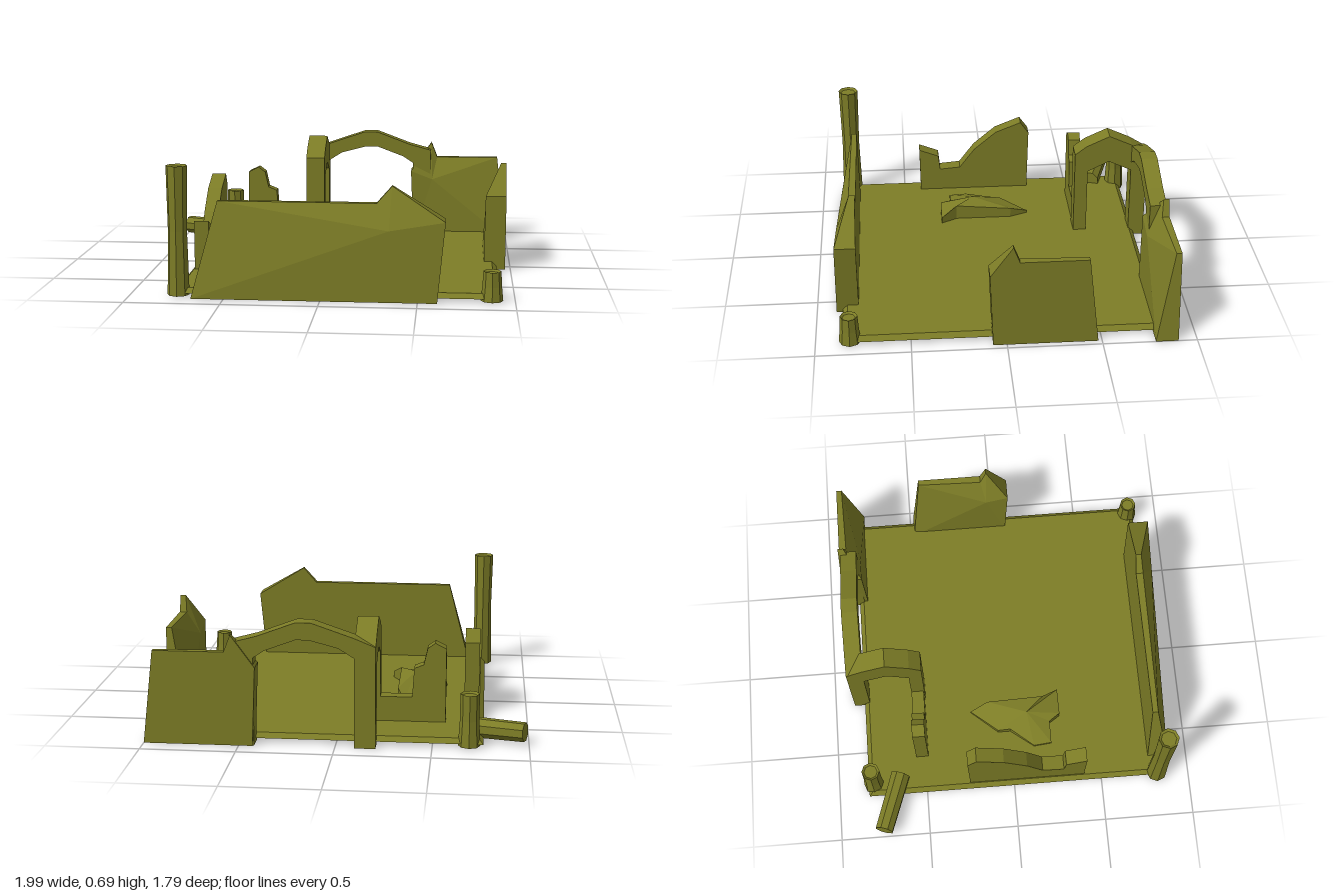
import * as THREE from 'three';

const stone = new THREE.MeshStandardMaterial({ color: 0x7d7d26, flatShading: true });

function add(parent, name, geometry, x = 0, y = 0, z = 0) {
  const mesh = new THREE.Mesh(geometry, stone);
  mesh.name = name;
  mesh.position.set(x, y, z);
  parent.add(mesh);
  return mesh;
}

// Solid between two rings of points, each closed by a fan around a centre.
// Rings run counter-clockwise as seen from the front ring.
function ringSolid(back, front, backCentre, frontCentre) {
  const pos = [];
  const tri = (a, b, c) => pos.push(...a, ...b, ...c);
  back.forEach((a, i) => {
    const j = (i + 1) % back.length;
    tri(frontCentre, front[i], front[j]);
    tri(backCentre, back[j], a);
    tri(a, back[j], front[j]);
    tri(a, front[j], front[i]);
  });
  const g = new THREE.BufferGeometry();
  g.setAttribute('position', new THREE.Float32BufferAttribute(pos, 3));
  g.computeVertexNormals();
  return g;
}

// Broken wall: flat back at z = 0, sloping faceted face towards +z
function brokenWall(length, dir) {
  // fraction of length, height, thickness
  const profile = [
    [0.03, 0, 0.12], [0, 0.42, 0.115], [0.21, 0.59, 0.03],
    [0.27, 0.5, 0.04], [0.9, 0.5, 0.03], [1, 0, 0.12],
  ];
  if (dir > 0) profile.reverse();
  const at = (u, y, z) => [u * length * dir, y, z];
  return ringSolid(
    profile.map(([u, y]) => at(u, y, 0)),
    profile.map(([u, y, t]) => at(u, y, t)),
    at(0.24, 0.3, 0), at(0.22, 0.37, 0.11));
}

// Flat outline pushed to a thickness
function slab(points, depth) {
  const shape = new THREE.Shape(points.map(([x, y]) => new THREE.Vector2(x, y)));
  return new THREE.ExtrudeGeometry(shape, { depth, bevelEnabled: false });
}

export function createModel() {
  const model = new THREE.Group();
  model.name = 'ruin';

  // Floor with a slightly bevelled top edge
  const floor = new THREE.BoxGeometry(1.685, 0.025, 1.69);
  const p = floor.attributes.position;
  for (let i = 0; i < p.count; i++) {
    if (p.getY(i) > 0) p.setXYZ(i, p.getX(i) * 0.97, p.getY(i), p.getZ(i) * 0.97);
  }
  add(model, 'floor', floor, 0.078, 0.0325, 0.015);

  // Three large broken walls
  add(model, 'frontWall', brokenWall(1.31, -1), 0.64, 0, 0.775);
  add(model, 'backWall', brokenWall(0.59, 1), 0.41, 0, -0.9);
  add(model, 'leftWall', brokenWall(0.57, -1), 0.97, 0, 0.09).rotation.y = -Math.PI / 2;

  // Arch along the back, sharing its corner pillar with the side arch
  add(model, 'backArch', slab([
    [-0.21, 0], [-0.21, 0.54], [-0.1, 0.585], [0.12, 0.66], [0.2, 0.66], [0.4, 0.585], [0.53, 0.55], [0.53, 0],
    [0.42, 0], [0.42, 0.47], [0.36, 0.51], [0.2, 0.57], [0.13, 0.57], [-0.02, 0.53], [-0.1, 0.48], [-0.1, 0],
  ], 0.09), 0, 0, -0.89);

  // Side arch, running from the corner pillar towards the front
  add(model, 'sideArch', slab([
    [-0.475, 0], [-0.475, 0.54], [-0.54, 0.59], [-0.67, 0.65], [-0.8, 0.59], [-0.88, 0.54],
    [-0.88, 0], [-0.8, 0], [-0.8, 0.43], [-0.67, 0.49], [-0.55, 0.43], [-0.55, 0],
  ], 0.11), -0.1, 0, 0).rotation.y = -Math.PI / 2;

  // Low stepped wall joining the side arch
  add(model, 'steppedWall', slab([
    [-0.1, 0], [-0.1, 0.18], [-0.38, 0.18], [-0.39, 0.34], [-0.44, 0.36], [-0.46, 0.45], [-0.5, 0.48], [-0.56, 0.45], [-0.56, 0],
  ], 0.07), 0, 0, -0.55);

  // Jagged low wall on the other side
  add(model, 'jaggedWall', slab([
    [-0.25, 0], [-0.26, 0.41], [-0.21, 0.48], [-0.06, 0.42], [0.07, 0.31], [0.16, 0.19],
    [0.28, 0.18], [0.29, 0.27], [0.405, 0.315], [0.4, 0],
  ], 0.08), -0.655, 0, 0).rotation.y = -Math.PI / 2;

  // Corner posts broken off at different heights: x, z, height, top radius
  [
    ['tallPost', -0.745, 0.82, 0.68, 0.056],
    ['shortPost', 0.88, 0.82, 0.155, 0.046],
    ['brokenPost', -0.69, -0.8, 0.28, 0.05],
  ].forEach(([name, x, z, h, r]) => {
    const profile = [[0, 0], [0.058, 0], [0.05, h * 0.5], [r, h], [r * 0.75, h - 0.01], [0, h - 0.01]];
    add(model, name, new THREE.LatheGeometry(profile.map(([a, b]) => new THREE.Vector2(a, b)), 8), x, 0.005, z);
  });

  // Fallen piece of post lying on the ground
  const log = add(model, 'fallenPost', new THREE.CylinderGeometry(0.052, 0.056, 0.335, 8), -0.82, 0.065, -0.7);
  log.quaternion.setFromUnitVectors(new THREE.Vector3(0, 1, 0), new THREE.Vector3(-0.32, 0.01, -0.11).normalize());

  // Rubble lying on the floor: x, z, top height
  const rubble = [
    [-0.32, -0.22, 0.06], [-0.28, -0.12, 0.1], [-0.28, 0.2, 0.13], [-0.23, 0.29, 0.08], [-0.38, 0.29, 0.1],
    [-0.42, 0.23, 0.09], [-0.54, 0.23, 0.06], [-0.55, 0.13, 0.06], [-0.45, 0, 0.09], [-0.45, -0.07, 0.08],
  ].reverse();
  add(model, 'rubble', ringSolid(
    rubble.map(([x, z]) => [x, 0.015, z]),
    rubble.map(([x, z, y]) => [x, y, z]),
    [-0.38, 0.015, 0.1], [-0.37, 0.14, 0.1]));

  return model;
}
